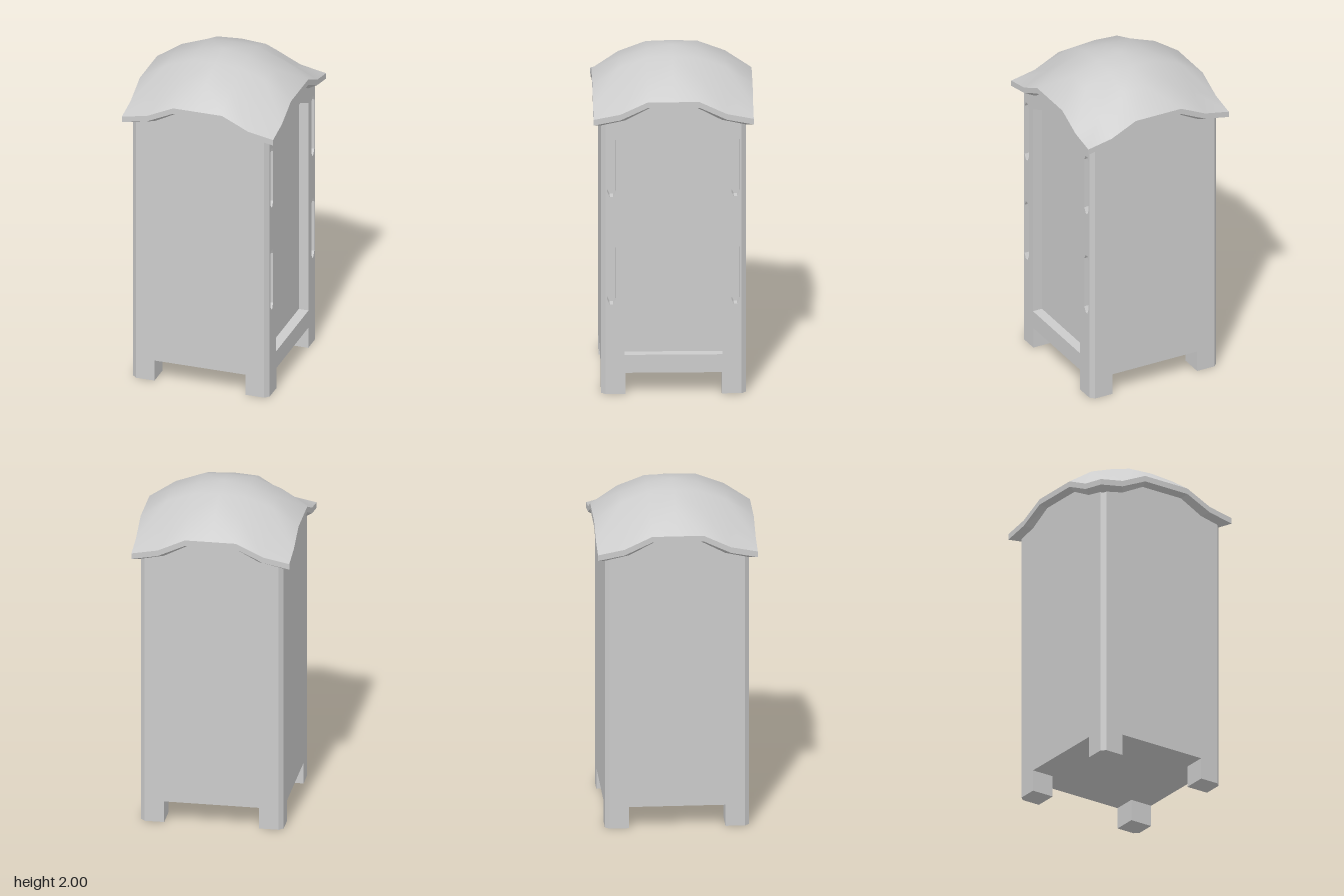
import * as THREE from 'three';

const mat = new THREE.MeshStandardMaterial({ color: 0xcccccc });

// Grid lines of the roof and its heights over one quadrant (centre to corner)
const STEPS = [0, 0.15, 0.31, 0.465];
const HEIGHT = [
  [2.0, 1.975, 1.92, 1.805],
  [1.975, 1.97, 1.91, 1.805],
  [1.92, 1.91, 1.8, 1.73],
  [1.805, 1.805, 1.73, 1.7],
];
const pos = (i) => Math.sign(i) * STEPS[Math.abs(i)];

function add(parent, name, geometry) {
  const mesh = new THREE.Mesh(geometry, mat);
  mesh.name = name;
  parent.add(mesh);
  return mesh;
}

const toShape = (pts) => new THREE.Shape(pts.map(([x, y]) => new THREE.Vector2(x, y)));

// Footprint polygon (x, z) raised from y0 to y1
function prism(pts, y0, y1) {
  const g = new THREE.ExtrudeGeometry(toShape(pts), { depth: y1 - y0, bevelEnabled: false });
  return g.rotateX(-Math.PI / 2).translate(0, y0, 0);
}

// Wall with an arched top; openings are cut through its thickness
function wall(thickness, holes = []) {
  const shape = toShape([
    [-0.395, 0.13], [0.395, 0.13], [0.395, 1.665], [0.3, 1.69],
    [0.15, 1.765], [-0.15, 1.765], [-0.3, 1.69], [-0.395, 1.665],
  ]);
  shape.holes = holes.map(toShape);
  const g = new THREE.ExtrudeGeometry(shape, { depth: thickness, bevelEnabled: false });
  return g.translate(0, 0, 0.42 - thickness);
}

// Slim slot with clipped ends
function slot(x, y0, y1) {
  return [
    [x - 0.01, y0], [x + 0.01, y0], [x + 0.025, y0 + 0.03], [x + 0.025, y1 - 0.03],
    [x + 0.01, y1], [x - 0.01, y1], [x - 0.025, y1 - 0.03], [x - 0.025, y0 + 0.03],
  ];
}

function roofTop() {
  const verts = [], index = [];
  for (let j = -3; j <= 3; j++)
    for (let i = -3; i <= 3; i++) verts.push(pos(i), HEIGHT[Math.abs(i)][Math.abs(j)], pos(j));
  for (let j = 0; j < 6; j++)
    for (let i = 0; i < 6; i++) {
      const a = j * 7 + i, b = a + 1, d = a + 7, c = a + 8;
      // split every quad along the line running out to the corners
      if ((i < 3) === (j < 3)) index.push(a, d, c, a, c, b);
      else index.push(a, d, b, b, d, c);
    }
  const g = new THREE.BufferGeometry();
  g.setAttribute('position', new THREE.Float32BufferAttribute(verts, 3));
  g.setIndex(index);
  g.computeVertexNormals();
  return g;
}

// One side of the eave: upright edge, then a sloping underside back to the wall
function eaveSide() {
  const rings = [[1, 0], [1, -0.035], [0.9, -0.05], [0.8, -0.05]];
  const verts = [];
  const point = (i, [scale, drop]) => [pos(i) * scale, HEIGHT[Math.abs(i)][3] + drop, STEPS[3] * scale];
  for (let r = 0; r < 3; r++)
    for (let i = -3; i < 3; i++) {
      const p0 = point(i, rings[r]), p1 = point(i + 1, rings[r]);
      const q0 = point(i, rings[r + 1]), q1 = point(i + 1, rings[r + 1]);
      verts.push(...p0, ...q0, ...q1, ...p0, ...q1, ...p1);
    }
  const g = new THREE.BufferGeometry();
  g.setAttribute('position', new THREE.Float32BufferAttribute(verts, 3));
  g.computeVertexNormals();
  return g;
}

export function createModel() {
  const model = new THREE.Group();
  model.name = 'booth';

  // Inner block: floor and the backs of the recesses
  add(model, 'core', new THREE.BoxGeometry(0.72, 1.53, 0.78).translate(0, 0.895, 0));

  // Walls: plain on three sides, door and slots on the +x side
  const door = [
    [-0.285, 0.24], [0.285, 0.24], [0.285, 1.585], [0.14, 1.65], [-0.14, 1.65], [-0.285, 1.585],
  ];
  const slots = [-0.36, 0.36].flatMap((x) => [slot(x, 0.55, 0.93), slot(x, 1.21, 1.59)]);
  add(model, 'frontWall', wall(0.03));
  add(model, 'backWall', wall(0.03)).rotation.y = Math.PI;
  add(model, 'doorWall', wall(0.06, [door, ...slots])).rotation.y = Math.PI / 2;
  add(model, 'plainSideWall', wall(0.06)).rotation.y = -Math.PI / 2;

  // Four corners: chamfered edge, leg and a side of the eave
  const leg = [[0.28, 0.28], [0.42, 0.28], [0.42, 0.395], [0.395, 0.42], [0.28, 0.42]];
  const edge = [[0.395, 0.395], [0.42, 0.395], [0.395, 0.42]];
  for (let k = 0; k < 4; k++) {
    const turn = (k * Math.PI) / 2;
    add(model, 'leg', prism(leg, 0, 0.13)).rotation.y = turn;
    add(model, 'cornerEdge', prism(edge, 0.13, 1.665)).rotation.y = turn;
    add(model, 'eave', eaveSide()).rotation.y = turn;
  }

  add(model, 'roof', roofTop());
  return model;
}
